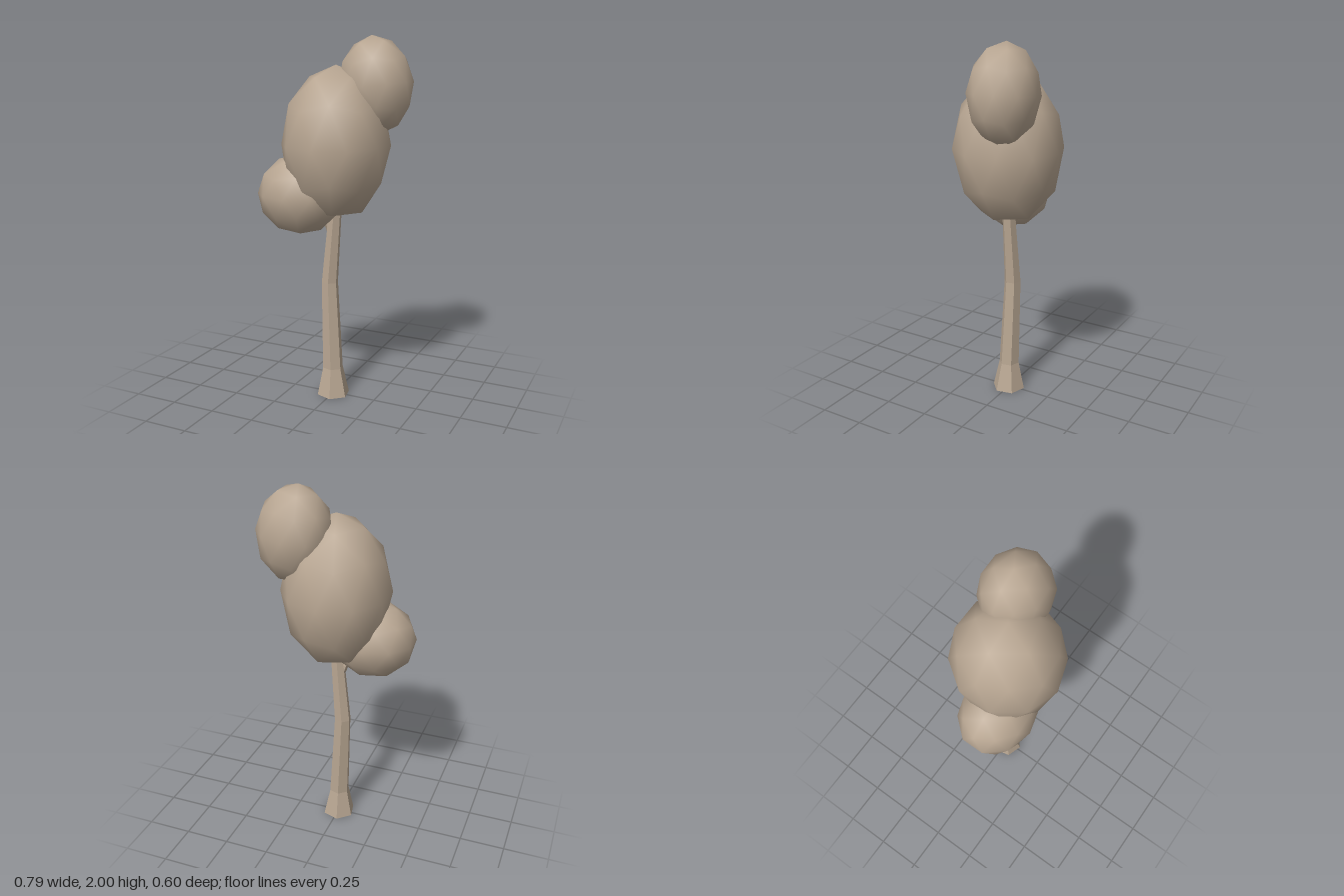
import * as THREE from 'three';
import { mergeVertices } from 'three/addons/utils/BufferGeometryUtils.js';

const clay = new THREE.MeshStandardMaterial({ color: 0xb8a692 });
clay.name = 'warm clay';

// Smooth-shaded, coarse ball with one vertex pointing straight up
function leafBall(name, centre, radii, tilt = 0, floor = -Infinity) {
  let geo = new THREE.IcosahedronGeometry(1, 1);
  geo.rotateZ(Math.atan(2 / (1 + Math.sqrt(5))));
  geo.deleteAttribute('uv');
  geo.deleteAttribute('normal');
  geo = mergeVertices(geo, 1e-4);
  geo.scale(...radii);
  geo.rotateZ(tilt);
  geo.translate(...centre);
  const pos = geo.attributes.position;
  for (let i = 0; i < pos.count; i++) pos.setY(i, Math.max(pos.getY(i), floor));
  geo.computeVertexNormals();
  const mesh = new THREE.Mesh(geo, clay);
  mesh.name = name;
  return mesh;
}

// Faceted limb through rings of [x, y, z, radius]
function limb(name, rings, sides, turn = 0) {
  const n = rings.length - 1;
  let geo = new THREE.CylinderGeometry(1, 1, 1, sides, n);
  geo.rotateY(turn);
  const pos = geo.attributes.position;
  for (let i = 0; i < pos.count; i++) {
    const [x, y, z, r] = rings[Math.round((pos.getY(i) + 0.5) * n)];
    pos.setXYZ(i, x + pos.getX(i) * r, y, z + pos.getZ(i) * r);
  }
  geo = geo.toNonIndexed();
  geo.computeVertexNormals();
  const mesh = new THREE.Mesh(geo, clay);
  mesh.name = name;
  return mesh;
}

export function createModel() {
  const tree = new THREE.Group();
  tree.name = 'tree';

  // Hexagonal trunk with a flared foot and a slight bend
  tree.add(limb('trunk', [
    [0, 0, 0.005, 0.093],
    [-0.003, 0.16, 0.004, 0.058],
    [-0.026, 0.66, -0.005, 0.047],
    [0.01, 1.08, 0, 0.036],
    [0.02, 1.25, 0, 0.03],
  ], 6, 0.2));

  // Short side branch carrying the lower ball
  tree.add(limb('branch', [
    [-0.01, 0.92, 0, 0.018],
    [-0.035, 1.0, 0.005, 0.022],
    [-0.1, 1.12, 0.03, 0.018],
  ], 5));

  // Foliage
  tree.add(leafBall('mainFoliage', [0.012, 1.43, 0], [0.295, 0.42, 0.3], 0, 1.06));
  tree.add(leafBall('lowerFoliage', [-0.17, 1.158, 0.07], [0.24, 0.22, 0.2]));
  tree.add(leafBall('upperFoliage', [0.203, 1.745, -0.088], [0.202, 0.258, 0.183], 0.1));
  return tree;
}
